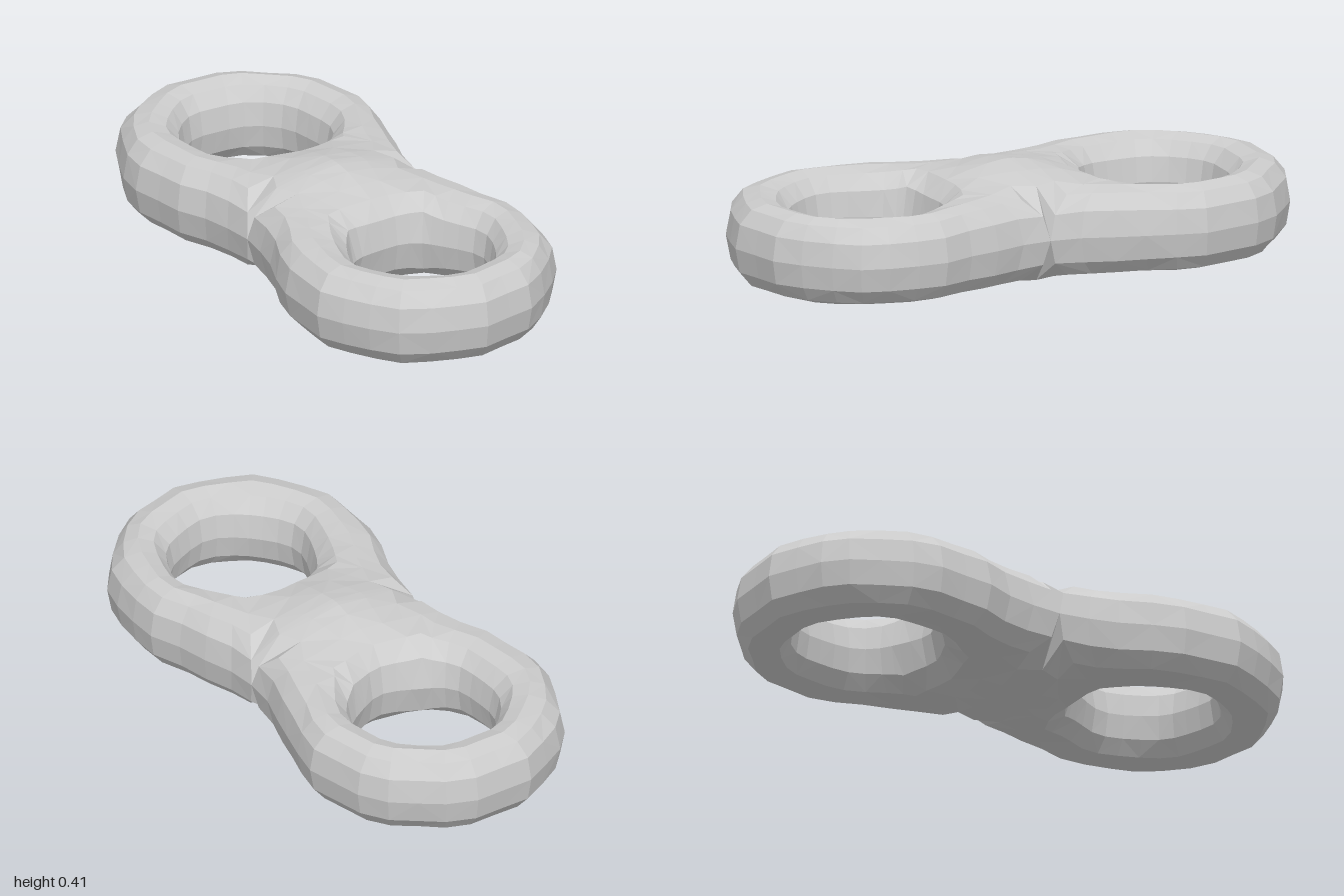
import * as THREE from 'three';

const MID = 0.205;                    // height of the horizontal symmetry plane
const HOLE = { x: 0.012, z: 0.54, r: 0.24 };
const END = { z: 0.53, rx: 0.462, rz: 0.468 };
const WAIST = 0.345;
const ACROSS = 6;                     // facets from hole to outline

// half width of the outline between the waist and the widest point
const halfWidth = (z) => WAIST + (END.rx - WAIST) * (1 - Math.cos(Math.PI * z / END.z)) / 2;

// distance from the outer outline, inwards
function outlineDepth(x, z) {
  if (z < END.z) return halfWidth(z) - Math.abs(x);
  return (1 - Math.hypot(x / END.rx, (z - END.z) / END.rz)) * END.rx;
}

// rounded edge: rises from 0 to 1 over the given radius
function edge(d, radius) {
  const k = 1 - Math.min(Math.max(d / radius, 0), 1);
  return Math.pow(1 - Math.pow(k, 2.3), 1 / 2.3);
}

// half thickness of the body, with a swelling in the middle
function thickness(x, z) {
  const fromHole = Math.hypot(x - HOLE.x, z - HOLE.z) - HOLE.r;
  const swell = 0.15 + 0.055 * Math.exp(-(x * x + z * z) / 0.036);
  return swell * edge(fromHole, 0.12) * edge(outlineDepth(x, z), 0.12);
}

// closed outline of one half: seam, waist, rounded end, waist
function halfOutline() {
  const points = [];
  for (let i = 0; i < 6; i++) points.push([WAIST * (i / 3 - 1), 0]);
  for (let i = 0; i < 5; i++) points.push([halfWidth(END.z * i / 5), END.z * i / 5]);
  for (let i = 0; i < 14; i++) {
    const a = Math.PI * i / 14;
    points.push([END.rx * Math.cos(a), END.z + END.rz * Math.sin(a)]);
  }
  for (let i = 5; i > 0; i--) points.push([-halfWidth(END.z * i / 5), END.z * i / 5]);
  return points;
}

// one half of the body; side is +1 for the front, -1 for the back
function halfBody(side) {
  const outline = halfOutline();
  const n = outline.length;
  const positions = [];

  const point = (i, j, up) => {
    const [ox, oz] = outline[i % n];
    const a = Math.atan2(oz - HOLE.z, ox - HOLE.x);
    const t = (1 - Math.cos(Math.PI * j / ACROSS)) / 2;
    const x = THREE.MathUtils.lerp(HOLE.x + HOLE.r * Math.cos(a), ox, t);
    const z = THREE.MathUtils.lerp(HOLE.z + HOLE.r * Math.sin(a), oz, t);
    const h = j === 0 || (j === ACROSS && oz > 0) ? 0 : thickness(x, z);
    // slight hand-shaped unevenness, fading out at the seam
    const wobble = 0.007 * Math.min(z * 3, 1);
    return [
      x + wobble * Math.sin(23 * z + 9 * x * side),
      MID + up * h,
      side * (z + wobble * Math.sin(27 * x + 2 * side)),
    ];
  };

  for (const up of [1, -1]) {
    for (let i = 0; i < n; i++) {
      for (let j = 0; j < ACROSS; j++) {
        const a = point(i, j, up), b = point(i + 1, j, up);
        const c = point(i + 1, j + 1, up), d = point(i, j + 1, up);
        const tris = (i + j) % 2 ? [[a, b, c], [a, c, d]] : [[a, b, d], [b, c, d]];
        for (const t of tris) {
          if (up * side < 0) t.reverse();
          positions.push(...t.flat());
        }
      }
    }
  }
  const geometry = new THREE.BufferGeometry();
  geometry.setAttribute('position', new THREE.Float32BufferAttribute(positions, 3));
  geometry.computeVertexNormals();
  return geometry;
}

export function createModel() {
  const model = new THREE.Group();
  model.name = 'doubleRing';
  const material = new THREE.MeshStandardMaterial({ color: 0xcccccc, flatShading: true });
  for (const [name, side] of [['frontRing', 1], ['backRing', -1]]) {
    const mesh = new THREE.Mesh(halfBody(side), material);
    mesh.name = name;
    model.add(mesh);
  }
  return model;
}
